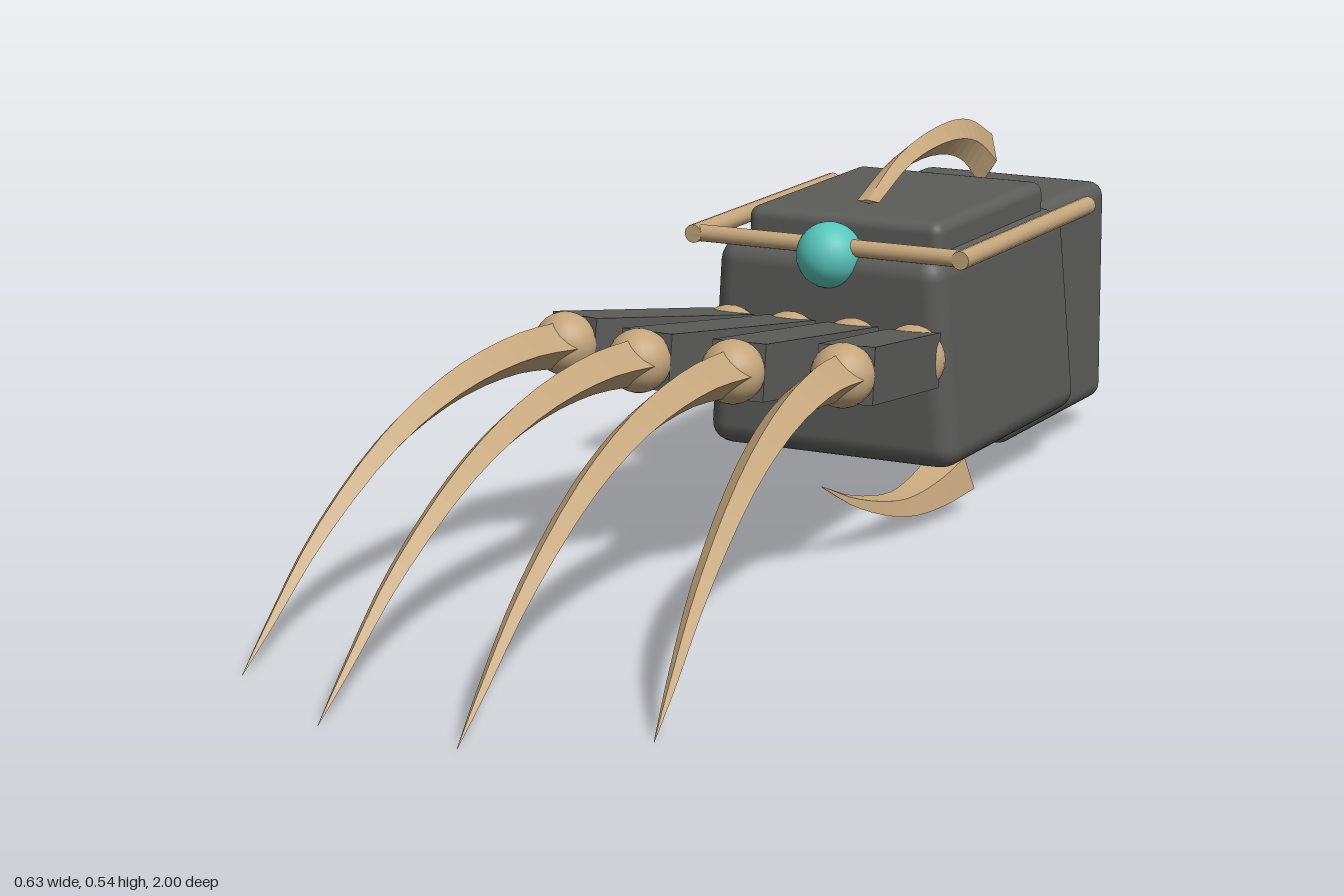
import * as THREE from 'three';
import { RoundedBoxGeometry } from 'three/addons/geometries/RoundedBoxGeometry.js';

const flat = (name, color) => {
  const m = new THREE.MeshStandardMaterial({ color });
  m.name = name;
  return m;
};
const V = (x, y, z) => new THREE.Vector3(x, y, z);

// Diamond-section blade swept along a curve, from base to tip
function bladeGeometry(points, side, halfWidth, halfHeight, steps = 16) {
  const curve = new THREE.CatmullRomCurve3(points);
  const rings = [];
  for (let i = 0; i <= steps; i++) {
    const u = i / steps;
    const p = curve.getPoint(u);
    const t = curve.getTangent(u);
    const s = side.clone().addScaledVector(t, -side.dot(t)).normalize();
    const n = t.clone().cross(s);
    const w = halfWidth(u), h = halfHeight(u);
    rings.push([[s, w], [n, h], [s, -w], [n, -h]].map(([d, k]) => p.clone().addScaledVector(d, k)));
  }
  const tris = [];
  for (let i = 0; i < steps; i++) {
    const a = rings[i], b = rings[i + 1];
    for (let j = 0; j < 4; j++) {
      const k = (j + 1) % 4;
      tris.push(a[j], a[k], b[k], a[j], b[k], b[j]);
    }
  }
  const a = rings[0], b = rings[steps];
  tris.push(a[0], a[3], a[2], a[0], a[2], a[1], b[0], b[1], b[2], b[0], b[2], b[3]);
  const g = new THREE.BufferGeometry().setFromPoints(tris);
  g.computeVertexNormals();
  return g;
}

export function createModel() {
  const model = new THREE.Group();
  model.name = 'clawedGauntlet';
  const grey = flat('darkGrey', 0x5c5d59);
  const tan = flat('boneTan', 0xc4a67c);
  const teal = flat('tealGem', 0x58c6bc);

  const add = (name, geometry, material, pos = V(0, 0, 0), parent = model) => {
    const mesh = new THREE.Mesh(geometry, material);
    mesh.name = name;
    mesh.position.copy(pos);
    parent.add(mesh);
    return mesh;
  };
  // Cylinder or box running from a to b
  const rod = (name, a, b, r) => {
    const mesh = add(name, new THREE.CylinderGeometry(r, r, a.distanceTo(b), 12), tan, a.clone().lerp(b, 0.5));
    mesh.quaternion.setFromUnitVectors(V(0, 1, 0), b.clone().sub(a).normalize());
  };

  // Wrist, hand (slightly narrower at the top) and plate on the back of the hand
  add('wrist', new RoundedBoxGeometry(0.33, 0.365, 0.4, 3, 0.025), grey, V(0, 0.2275, -0.8));
  const hand = new RoundedBoxGeometry(0.4, 0.33, 0.49, 3, 0.035);
  const hp = hand.attributes.position;
  for (let i = 0; i < hp.count; i++) {
    const y = hp.getY(i);
    hp.setX(i, hp.getX(i) * (1.01 - y * 0.38));
    hp.setZ(i, hp.getZ(i) + y * 0.03);
  }
  add('hand', hand, grey, V(0, 0.243, -0.53));
  add('backPlate', new RoundedBoxGeometry(0.33, 0.09, 0.4, 3, 0.018), grey, V(0, 0.407, -0.54));

  // Rails around the hand, with a gem at the front
  const railY = 0.413, railX = 0.226;
  rod('frontRail', V(-railX, railY, -0.29), V(railX, railY, -0.29), 0.0135);
  for (const s of [-1, 1]) {
    rod(s > 0 ? 'leftRail' : 'rightRail', V(s * railX, railY, -0.77), V(s * railX, railY, -0.277), 0.0145);
  }
  add('gem', new THREE.SphereGeometry(0.051, 24, 16), teal, V(0, 0.398, -0.294));

  // Studs on the right side of the wrist
  for (const z of [-0.94, -0.805]) {
    add('stud', new THREE.SphereGeometry(0.02, 14, 10), tan, V(-0.166, 0.35, z));
  }

  // Curved fin on top
  add('topFin', bladeGeometry(
    [V(0, 0.45, -0.88), V(0, 0.495, -0.8), V(0, 0.512, -0.7), V(0, 0.5, -0.55), V(0, 0.457, -0.43)],
    V(1, 0, 0), () => 0.019, u => 0.042 * (1 - u) + 0.003), tan);

  // Thumb claw under the hand
  add('thumbClaw', bladeGeometry(
    [V(0.175, 0.066, -0.38), V(0.172, 0.05, -0.3), V(0.166, 0.047, -0.2), V(0.155, 0.08, -0.07), V(0.15, 0.127, 0.035)],
    V(0.73, 0.69, 0), u => 0.024 * (1 - u) + 0.001, u => 0.045 * (1 - u) + 0.001), tan);

  // Fingers: knuckle, square segment, joint and long claw
  const fingers = [
    { baseX: 0.053, joint: V(0.076, 0.321, 0.175), tip: V(0.105, 0, 0.998) },
    { baseX: 0.155, joint: V(0.226, 0.321, 0.125), tip: V(0.315, 0, 0.858) },
  ];
  // Claw profile: fraction of reach, height
  const profile = [[0, 0.32], [0.17, 0.327], [0.37, 0.308], [0.57, 0.255], [0.78, 0.155], [0.92, 0.058], [1, 0.001]];
  for (const s of [-1, 1]) {
    for (const f of fingers) {
      const finger = new THREE.Group();
      finger.name = s > 0 ? 'leftFinger' : 'rightFinger';
      model.add(finger);
      const base = V(s * f.baseX, 0.258, -0.265);
      const joint = V(s * f.joint.x, f.joint.y, f.joint.z);
      const tip = V(s * f.tip.x, 0, f.tip.z);

      add('knuckle', new THREE.SphereGeometry(0.052, 20, 14), tan, base, finger).scale.set(1, 1, 0.7);
      const end = base.clone().lerp(joint, 0.96);
      const segment = add('fingerSegment', new THREE.BoxGeometry(0.084, 0.084, base.distanceTo(end)),
        grey, base.clone().lerp(end, 0.5), finger);
      segment.lookAt(joint);
      add('joint', new THREE.SphereGeometry(0.047, 20, 14), tan, joint, finger);

      const path = profile.map(([k, y]) => V(
        THREE.MathUtils.lerp(joint.x, tip.x, k), y, THREE.MathUtils.lerp(joint.z, tip.z, k)));
      const across = V(tip.z - joint.z, 0, joint.x - tip.x).normalize();
      add('claw', bladeGeometry(path, across,
        u => 0.041 * (1 - u) + 0.0005, u => 0.035 * (1 - u) + 0.0005, 20), tan, V(0, 0, 0), finger);
    }
  }
  return model;
}
